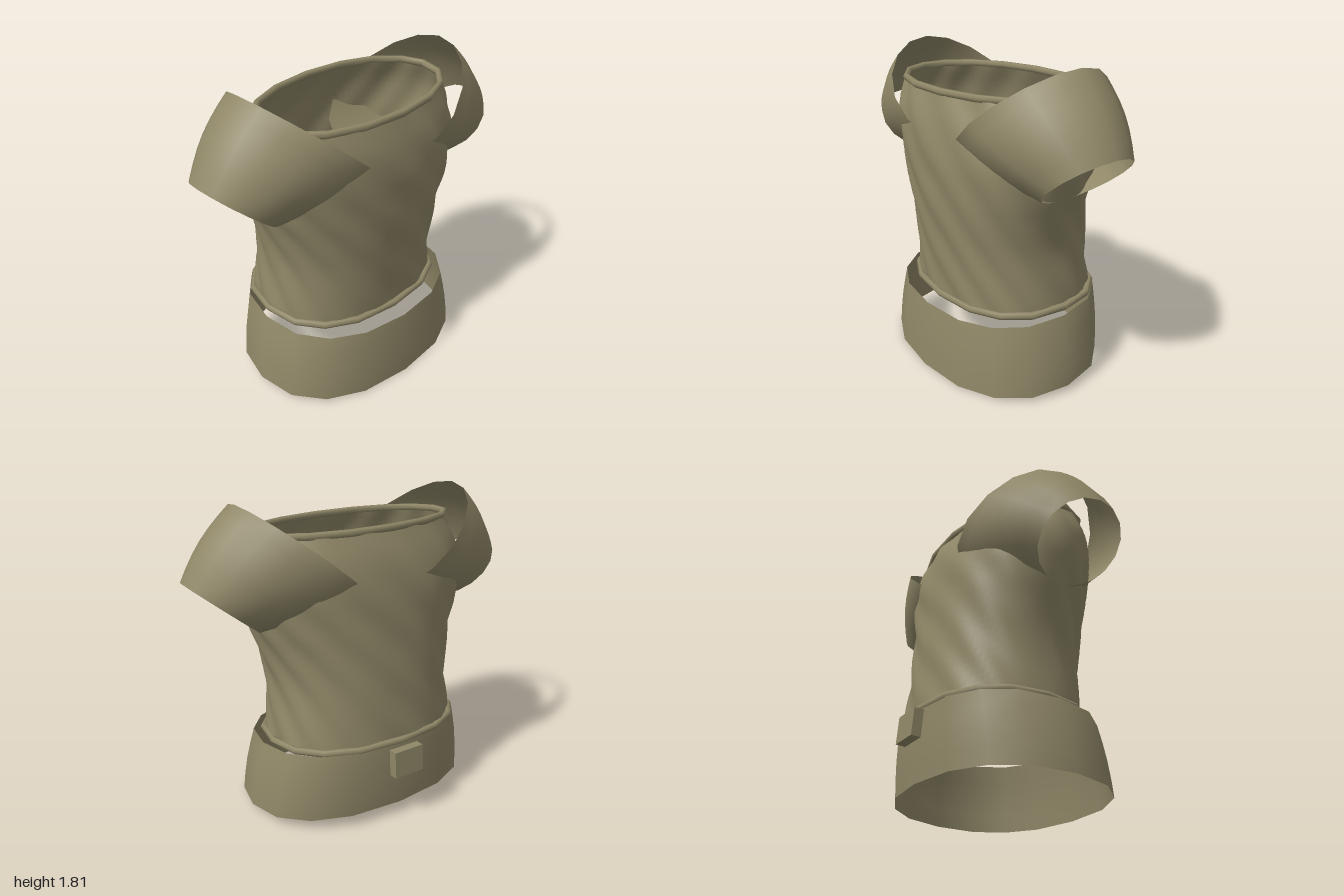
import * as THREE from 'three';

const cloth = new THREE.MeshStandardMaterial({ color: 0x8f8767, side: THREE.DoubleSide });

// Smooth open skin over rows of points; point(row, angle) gives a position
function loft(name, rows, segs, point) {
  const pos = [], idx = [];
  for (let r = 0; r < rows; r++) {
    for (let i = 0; i < segs; i++) {
      const p = point(r / (rows - 1), (i / segs) * Math.PI * 2);
      pos.push(p.x, p.y, p.z);
      if (r === rows - 1) continue;
      const a = r * segs + i, b = r * segs + ((i + 1) % segs);
      idx.push(a, a + segs, b, b, a + segs, b + segs);
    }
  }
  const geo = new THREE.BufferGeometry();
  geo.setAttribute('position', new THREE.Float32BufferAttribute(pos, 3));
  geo.setIndex(idx);
  geo.computeVertexNormals();
  const mesh = new THREE.Mesh(geo, cloth);
  mesh.name = name;
  return mesh;
}

// Point on a slightly squared, turned oval whose back sits higher than its front
function oval(a, b, y, cz, t, tilt, power, yaw = 0) {
  const bend = (k) => Math.sign(k) * Math.abs(k) ** power;
  const x = a * bend(Math.cos(t)), z = b * bend(Math.sin(t));
  const px = x * Math.cos(yaw) + z * Math.sin(yaw);
  const pz = cz + z * Math.cos(yaw) - x * Math.sin(yaw);
  return new THREE.Vector3(px, y - tilt * pz, pz);
}

// Rolled hem: a thin tube swept round an oval
function hem(name, a, b, y, cz, power, yaw) {
  const n = 16, r = 0.021;
  return loft(name, n + 1, 6, (v, u) => {
    const p = oval(a, b, y, cz, v * Math.PI * 2, 0.055, power, yaw);
    const out = new THREE.Vector3(p.x, 0, p.z - cz).normalize();
    p.addScaledVector(out, r * Math.cos(u));
    p.y += r * Math.sin(u);
    return p;
  });
}

// Body with soft twisted folds: half width, front z, back z at each height
function torso() {
  const heights = [0.46, 0.8, 1.0, 1.15, 1.35, 1.5, 1.65];
  const sizes = [
    0.565, 0.405, -0.45, 0.55, 0.43, -0.425, 0.59, 0.45, -0.41, 0.64, 0.46, -0.4,
    0.69, 0.465, -0.385, 0.685, 0.445, -0.35, 0.63, 0.395, -0.285,
  ];
  const profile = new THREE.CubicInterpolant(heights, sizes, 3, new Float32Array(3));
  return loft('torso', 33, 104, (v, t) => {
    const y = 0.46 + 1.19 * v;
    const [a, front, back] = profile.evaluate(y);
    const fold = 0.008 * Math.cos(13 * t - 20 * y);
    const yaw = 0.09 * THREE.MathUtils.smoothstep(y, 1.2, 1.65);
    const power = THREE.MathUtils.lerp(0.84, 0.95, v);
    return oval(a + fold, (front - back) / 2 + fold, y, (front + back) / 2, t, 0.055, power, yaw);
  });
}

// Short tapered sleeve: egg-shaped shoulder opening down to a round arm opening
function sleeve(name, side) {
  const cuff = new THREE.Vector3(0.81, 1.275, 0.06);
  const shoulder = new THREE.Vector3(0.375, 1.535, 0.035);
  const across = new THREE.Vector3(0.773, 0.634, 0);
  return loft(name, 7, 16, (v, t) => {
    const radius = THREE.MathUtils.lerp(0.245, 0.434, v) + 0.025 * Math.sin(Math.PI * v);
    const egg = 1 - v * (0.03 + 0.16 * Math.cos(t));
    const p = cuff.clone().lerp(shoulder, v);
    p.addScaledVector(across, radius * Math.cos(t));
    p.z += side * radius * egg * Math.sin(t);
    p.x *= side;
    return p;
  });
}

export function createModel() {
  const group = new THREE.Group();
  group.name = 'shirt';

  group.add(torso());
  group.add(hem('neckHem', 0.638, 0.345, 1.65, 0.055, 0.95, 0.09));
  group.add(hem('waistHem', 0.583, 0.44, 0.462, -0.02, 0.84, 0));
  group.add(sleeve('leftSleeve', 1), sleeve('rightSleeve', -1));

  // Flared waistband, lower at the front
  group.add(loft('waistband', 5, 16, (v, t) => {
    const mix = (p, q) => THREE.MathUtils.lerp(p, q, v);
    const swell = 0.012 * Math.sin(Math.PI * v);
    return oval(mix(0.71, 0.63) + swell, mix(0.505, 0.492) + swell * 0.5,
      mix(0.043, 0.442), mix(0.04, 0.018), t, 0.08, 0.86);
  }));

  // Small block on the back of the waistband
  const clasp = new THREE.Mesh(new THREE.BoxGeometry(0.19, 0.155, 0.055), cloth);
  clasp.name = 'backClasp';
  clasp.position.set(-0.005, 0.38, -0.508);
  clasp.rotation.x = 0.08;
  group.add(clasp);

  return group;
}
